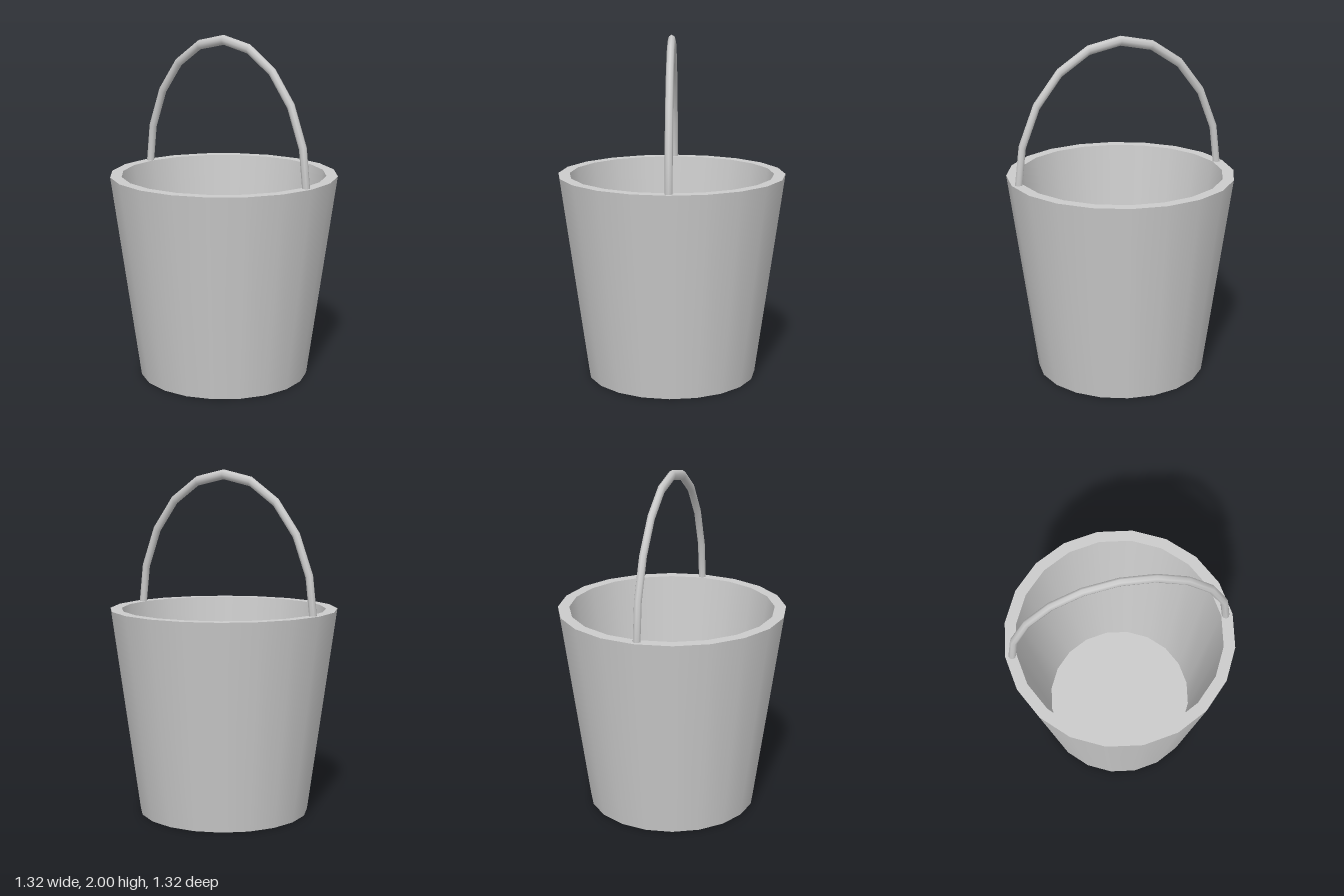
import * as THREE from 'three';

const SIDES = 20;

export function createModel() {
  const group = new THREE.Group();
  const material = new THREE.MeshStandardMaterial({ color: 0xcccccc });

  // Bucket profile, from base centre around the wall to floor centre.
  // Each span is its own lathe, so the rims stay sharp and the walls smooth.
  const profile = [
    [0, 0], [0.496, 0], [0.661, 1.2], [0.595, 1.2], [0.45, 0.07], [0, 0.07],
  ].map(([r, y]) => new THREE.Vector2(r, y));
  const names = ['base', 'outerWall', 'rim', 'innerWall', 'floor'];

  const bucket = new THREE.Group();
  bucket.name = 'bucket';
  names.forEach((name, i) => {
    const span = new THREE.LatheGeometry([profile[i], profile[i + 1]], SIDES);
    const mesh = new THREE.Mesh(span, material);
    mesh.name = name;
    bucket.add(mesh);
  });
  group.add(bucket);

  // Handle: half ring stretched upwards, its ends sunk into the rim
  const handle = new THREE.Mesh(new THREE.TorusGeometry(0.624, 0.022, 8, 10, Math.PI), material);
  handle.name = 'handle';
  handle.scale.y = 1.285;
  handle.position.y = 1.17;
  group.add(handle);

  return group;
}
